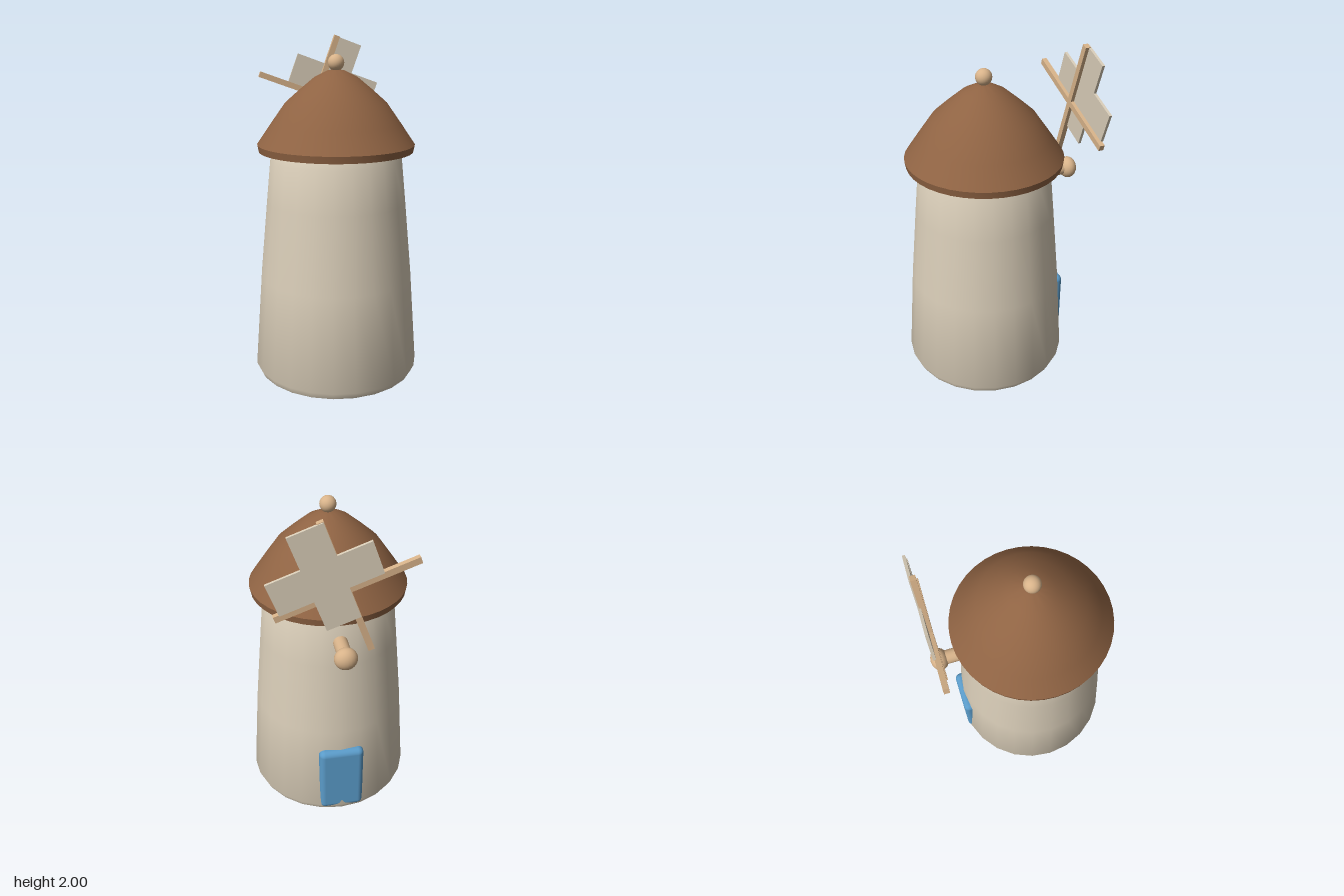
import * as THREE from 'three';
import { toCreasedNormals } from 'three/addons/utils/BufferGeometryUtils.js';
import { RoundedBoxGeometry } from 'three/addons/geometries/RoundedBoxGeometry.js';

const material = (name, color) => {
  const m = new THREE.MeshStandardMaterial({ color });
  m.name = name;
  return m;
};

const AXIS_Z = 0.05; // tower axis
const TILT = -THREE.MathUtils.degToRad(20); // resting angle of the sails

export function createModel() {
  const plaster = material('cream plaster', 0xd9cdb8);
  const roofBrown = material('roof brown', 0x8f6343);
  const wood = material('light wood', 0xd8b38a);
  const doorBlue = material('door blue', 0x5a9bc9);

  const model = new THREE.Group();
  model.name = 'windmill';

  const add = (parent, name, geometry, mat, x = 0, y = 0, z = 0) => {
    const mesh = new THREE.Mesh(geometry, mat);
    mesh.name = name;
    mesh.position.set(x, y, z);
    parent.add(mesh);
    return mesh;
  };
  const lathe = (profile, sides) => toCreasedNormals(
    new THREE.LatheGeometry(profile.map(([r, y]) => new THREE.Vector2(r, y)), sides), 0.6);

  // Tapered tower with a small bevel at the foot
  add(model, 'tower', lathe([
    [0, 0], [0.478, 0], [0.497, 0.04], [0.455, 0.6], [0.412, 1.05],
    [0.387, 1.3], [0.36, 1.36], [0, 1.36],
  ], 24), plaster, 0, 0, AXIS_Z);

  // Bell-shaped cap with a flat underside
  add(model, 'roof', lathe([
    [0, 1.35], [0.452, 1.35], [0.459, 1.39], [0.38, 1.505], [0.295, 1.625],
    [0.21, 1.7], [0.125, 1.77], [0.05, 1.808], [0, 1.815],
  ], 40), roofBrown, 0, 0, AXIS_Z);
  add(model, 'finial', new THREE.SphereGeometry(0.047, 24, 16), wood, 0, 1.852, AXIS_Z);

  // Door set into the sloping back wall
  add(model, 'door', new RoundedBoxGeometry(0.27, 0.455, 0.12, 4, 0.035), doorBlue, 0, 0.248, -0.384);

  // Axle and hub
  const axle = add(model, 'axle', new THREE.CylinderGeometry(0.041, 0.041, 0.24, 20), wood, 0, 1.203, -0.36);
  axle.rotation.x = Math.PI / 2;
  const hub = add(model, 'hub', new THREE.SphereGeometry(0.065, 20, 16), wood, 0, 1.202, -0.498);
  hub.scale.z = 0.8;

  // Crossed spars with a cross-shaped cloth behind them
  const sails = new THREE.Group();
  sails.name = 'sails';
  sails.position.set(0, 1.625, -0.498);
  sails.rotation.z = TILT;
  model.add(sails);
  add(sails, 'horizontalSpar', new THREE.BoxGeometry(0.79, 0.036, 0.03), wood);
  add(sails, 'verticalSpar', new THREE.BoxGeometry(0.036, 0.79, 0.03), wood);

  const cross = new THREE.Shape();
  const [a, b] = [0.095, 0.282]; // half arm width, arm reach
  [[-a, -b], [a, -b], [a, -a], [b, -a], [b, a], [a, a],
    [a, b], [-a, b], [-a, a], [-b, a], [-b, -a], [-a, -a]]
    .forEach(([x, y], i) => (i ? cross.lineTo(x, y) : cross.moveTo(x, y)));
  cross.closePath();
  add(sails, 'sailCloth', new THREE.ExtrudeGeometry(cross, { depth: 0.016, bevelEnabled: false }),
    plaster, 0.08, 0.11, -0.022);

  return model;
}
